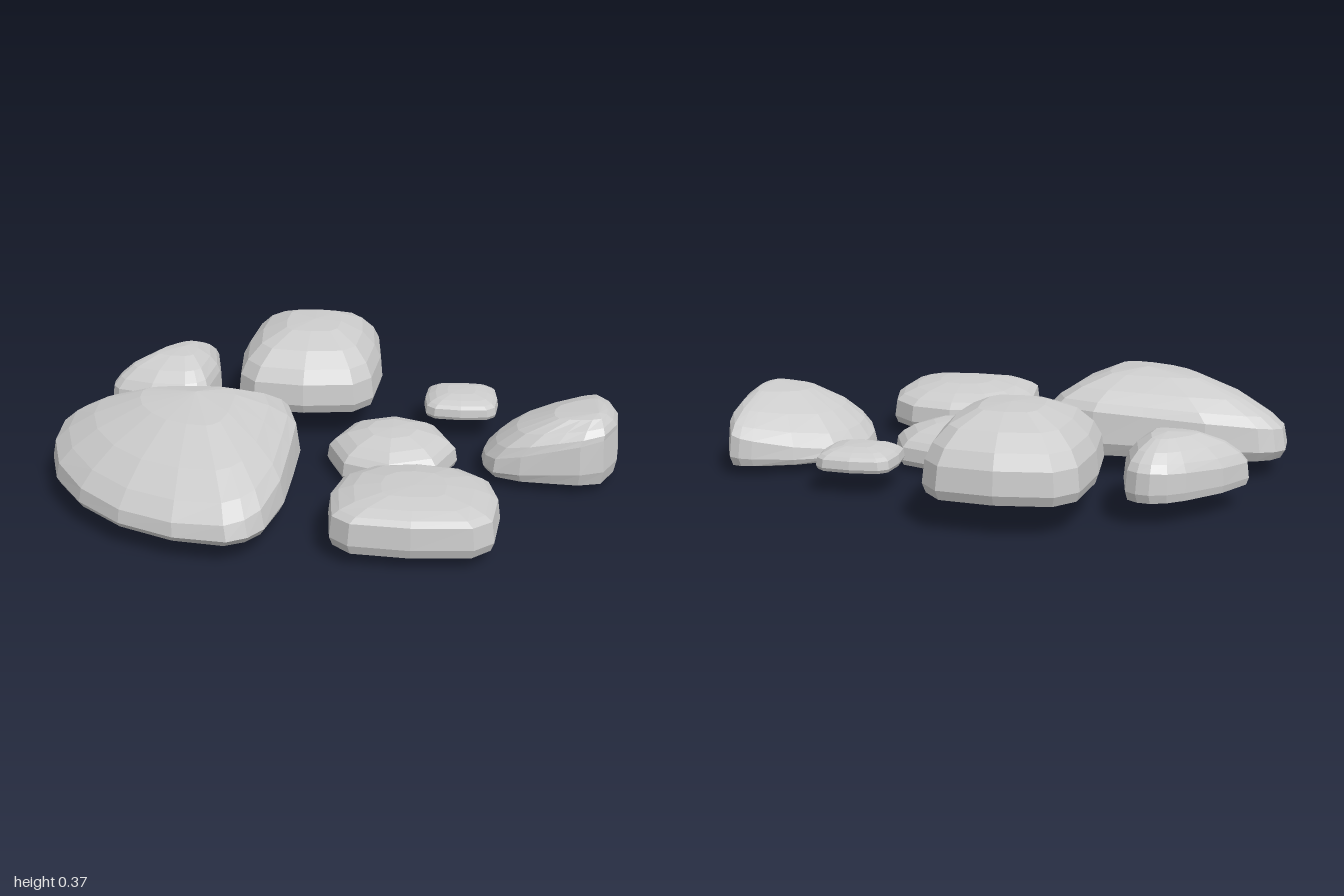
import * as THREE from 'three';

const material = new THREE.MeshStandardMaterial({ color: 0xcccccc, flatShading: true });

// Rounded block outline, clockwise from above; exponents set how square its back and front are
function rounded(x, z, halfW, halfD, sides, back, front = back) {
  return Array.from({ length: sides }, (_, i) => {
    const t = Math.PI + (i / sides) * Math.PI * 2;
    const c = Math.cos(t), s = Math.sin(t);
    const power = 2 / (s < 0 ? back : front);
    return [x + halfW * Math.sign(c) * Math.abs(c) ** power, z + halfD * Math.sign(s) * Math.abs(s) ** power];
  });
}

// Irregular outline: a closed curve through a few x, z points, sampled twice per span
function irregular(...points) {
  const curve = new THREE.CatmullRomCurve3(points.map(([x, z]) => new THREE.Vector3(x, 0, z)), true);
  return curve.getPoints(points.length * 2).slice(0, -1).map((p) => [p.x, p.z]);
}

// One stone: the outline is lofted up a low wall and over a dome to its peak.
// The wall's top edge may tilt along x and z.
function stone(name, outline, { base, dip, wall, tilt = [0, 0], peak, round }) {
  const n = outline.length;
  const mid = [0, 1].map((k) => {
    const v = outline.map((p) => p[k]);
    return (Math.min(...v) + Math.max(...v)) / 2;
  });
  const [px, py, pz] = peak;
  const wallAt = (p) => wall + tilt[0] * (p[0] - mid[0]) + tilt[1] * (p[1] - mid[1]);
  const fromMid = (p, s, y) => [mid[0] + (p[0] - mid[0]) * s, y, mid[1] + (p[1] - mid[1]) * s];

  // Underside and wall
  const rings = [
    outline.map((p) => fromMid(p, 0, base - dip)),
    outline.map((p) => fromMid(p, 0.7, base - dip * 0.8)),
    outline.map((p) => fromMid(p, 0.96, base)),
    outline.map((p) => fromMid(p, 1, base + 0.3 * (wallAt(p) - base))),
    outline.map((p) => fromMid(p, 0.97, wallAt(p))),
  ];
  // Dome
  for (const s of [0.88, 0.7, 0.38, 0]) {
    rings.push(outline.map((p) => {
      const y = wallAt(p);
      return [px + (p[0] - px) * s, y + (py - y) * (1 - s ** round), pz + (p[1] - pz) * s];
    }));
  }

  // Quads between rings, with triangle fans at both ends
  const index = [];
  const last = rings.length - 2;
  for (let r = 0; r <= last; r++) {
    for (let i = 0; i < n; i++) {
      const a = r * n + i, b = r * n + (i + 1) % n;
      const d = a + n, c = b + n;
      if (r > 0) index.push(b, a, d);
      if (r < last) index.push(b, d, c);
    }
  }
  const indexed = new THREE.BufferGeometry();
  indexed.setAttribute('position', new THREE.Float32BufferAttribute(rings.flat(2), 3));
  indexed.setIndex(index);
  const geometry = indexed.toNonIndexed();
  geometry.computeVertexNormals();
  const mesh = new THREE.Mesh(geometry, material);
  mesh.name = name;
  return mesh;
}

export function createModel() {
  const group = new THREE.Group();
  group.name = 'steppingStones';

  // Three irregular stones
  const largeFront = irregular([-0.995, 0.1], [-0.91, 0.02], [-0.5, -0.01], [-0.17, 0.03], [-0.13, 0.35],
    [-0.18, 0.76], [-0.29, 0.855], [-0.66, 0.74], [-0.94, 0.42]);
  group.add(stone('largeFrontStone', largeFront,
    { base: 0.065, dip: 0.01, wall: 0.165, tilt: [0.06, -0.1], peak: [-0.48, 0.35, 0.24], round: 2.1 }));

  const backRight = irregular([-0.9, -0.33], [-0.72, -0.58], [-0.61, -0.645], [-0.53, -0.61],
    [-0.52, -0.25], [-0.6, -0.2], [-0.87, -0.25]);
  group.add(stone('backRightStone', backRight,
    { base: 0.08, dip: 0.01, wall: 0.165, tilt: [0.03, -0.04], peak: [-0.64, 0.27, -0.43], round: 2.6 }));

  const left = irregular([0.51, 0.02], [0.58, -0.17], [0.85, -0.32], [0.93, -0.32], [1, -0.05],
    [0.93, 0.21], [0.75, 0.225], [0.55, 0.18]);
  group.add(stone('leftStone', left,
    { base: 0.035, dip: 0.02, wall: 0.13, tilt: [0.24, 0.1], peak: [0.91, 0.265, 0.11], round: 2.4 }));

  // Four rounded stones
  group.add(stone('largeBackStone', rounded(-0.155, -0.52, 0.275, 0.342, 12, 3.7),
    { base: 0.105, dip: 0.03, wall: 0.215, peak: [-0.14, 0.365, -0.52], round: 3.2 }));
  group.add(stone('smallStone', rounded(0.43, -0.358, 0.14, 0.135, 12, 4),
    { base: 0.08, dip: 0, wall: 0.12, peak: [0.43, 0.155, -0.36], round: 3 }));
  group.add(stone('centreStone', rounded(0.19, 0.047, 0.233, 0.24, 8, 2),
    { base: 0.02, dip: 0.02, wall: 0.085, peak: [0.19, 0.16, 0.05], round: 2.8 }));
  group.add(stone('frontLeftStone', rounded(0.29, 0.578, 0.282, 0.268, 12, 2.4, 4),
    { base: 0.045, dip: 0.01, wall: 0.14, tilt: [0, 0.04], peak: [0.29, 0.2, 0.62], round: 3 }));
  return group;
}
